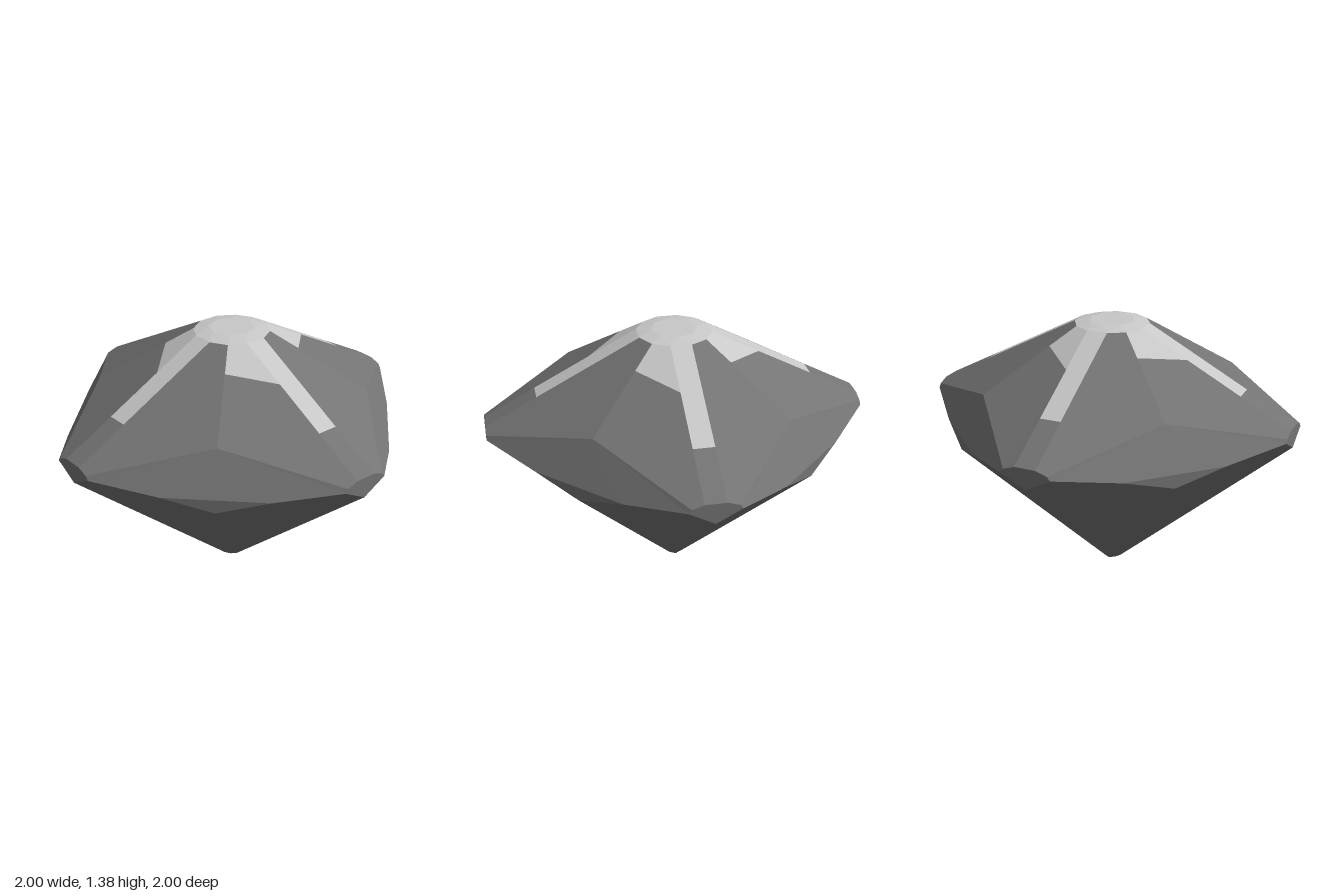
import * as THREE from 'three';

// Height of the sloping crown facet at (x, z), taken beside the +z arm
const crownY = (x, z) => 1.483 - 0.326 * Math.abs(x) - 0.53 * z;
const onCrown = (x, z) => [x, crownY(x, z), z];
const flip = (p) => [-p[0], p[1], p[2]];

// Repeat convex faces four times round the y axis and turn each one outward
function facets(name, faces, material) {
  const positions = [];
  const centre = new THREE.Vector3(0, 0.75, 0);
  const up = new THREE.Vector3(0, 1, 0);
  for (let q = 0; q < 4; q++) {
    for (const face of faces) {
      const pts = face.map((p) => new THREE.Vector3(...p).applyAxisAngle(up, (q * Math.PI) / 2));
      for (let i = 1; i < pts.length - 1; i++) {
        const [a, b, c] = [pts[0], pts[i], pts[i + 1]];
        const n = b.clone().sub(a).cross(c.clone().sub(a));
        const outward = n.dot(a.clone().add(b).add(c).divideScalar(3).sub(centre)) > 0;
        for (const v of outward ? [a, b, c] : [a, c, b]) positions.push(v.x, v.y, v.z);
      }
    }
  }
  const geometry = new THREE.BufferGeometry();
  geometry.setAttribute('position', new THREE.Float32BufferAttribute(positions, 3));
  geometry.computeVertexNormals();
  const mesh = new THREE.Mesh(geometry, material);
  mesh.name = name;
  return mesh;
}

// A face together with its mirror image across x = 0
const both = (face) => [face, face.map(flip)];

export function createModel() {
  const stone = new THREE.MeshStandardMaterial({ color: 0x747474, flatShading: true });
  stone.name = 'dark grey stone';
  const pale = new THREE.MeshStandardMaterial({ color: 0xc8c8c8, flatShading: true });
  pale.name = 'pale grey';

  // Corner points of one quarter, around the +z arm
  const armTop = onCrown(0.055, 0.19);
  const armMid = onCrown(0.055, 0.73);
  const armEnd = onCrown(0.055, 1);
  const rim = onCrown(0.14, 0.14);
  const shoulder = onCrown(0.5, 0.5);
  const tipUpper = [0.115, 0.915, 1];
  const tipSide = [0.13, 0.895, 1];
  const tipLow = [0, 0.825, 1];
  const girdle = [0.4, 0.843, 0.78];
  const girdleOther = [0.78, 0.843, 0.4];
  const girdleLow = [0.59, 0.77, 0.59];
  const wedgeArm = onCrown(0.055, 0.44);
  const wedgeDiag = onCrown(0.245, 0.245);
  const capMid = [0, 1.38, 0.12];
  const capDiag = [0.085, 1.38, 0.085];
  const foot = [0, 0, 0.05];
  const footDiag = [0.0315, 0, 0.0315];

  const group = new THREE.Group();
  group.name = 'gemstone';
  group.add(
    // Crown: plain facet on +x side, facet cut by the pale wedge on -x side
    facets('crownFacets', [
      [armTop, armEnd, tipUpper, shoulder, rim],
      [wedgeArm, armEnd, tipUpper, shoulder, wedgeDiag].map(flip),
    ], stone),
    facets('armEnds', [[armMid, armEnd, flip(armEnd), flip(armMid)]], stone),
    // Corner bevels between the arms and the small upright triangles below them
    facets('cornerFacets', [
      [shoulder, tipUpper, tipSide, girdle, girdleOther,
        [1, 0.895, 0.13], [1, 0.915, 0.115]],
      [girdle, girdleOther, girdleLow],
    ], stone),
    facets('tipFacets', [
      [tipLow, tipSide, tipUpper, armEnd, flip(armEnd), flip(tipUpper), flip(tipSide)],
    ], stone),
    // Lower cone and its small flat foot
    facets('lowerFacets', both([foot, tipLow, tipSide, girdle, girdleLow, footDiag]), stone),
    facets('foot', both([[0, 0, 0], foot, footDiag]), stone),
    // Pale star on top: strips, pinwheel wedges, bevelled cap
    facets('paleStrips', [[armTop, armMid, flip(armMid), flip(armTop)]], pale),
    facets('paleWedges', [[armTop, wedgeArm, wedgeDiag, rim].map(flip)], pale),
    facets('capBevel', [
      [armTop, flip(armTop), capMid],
      ...both([armTop, rim, capDiag, capMid]),
    ], pale),
    facets('cap', both([[0, 1.38, 0], capMid, capDiag]), pale),
  );
  return group;
}
